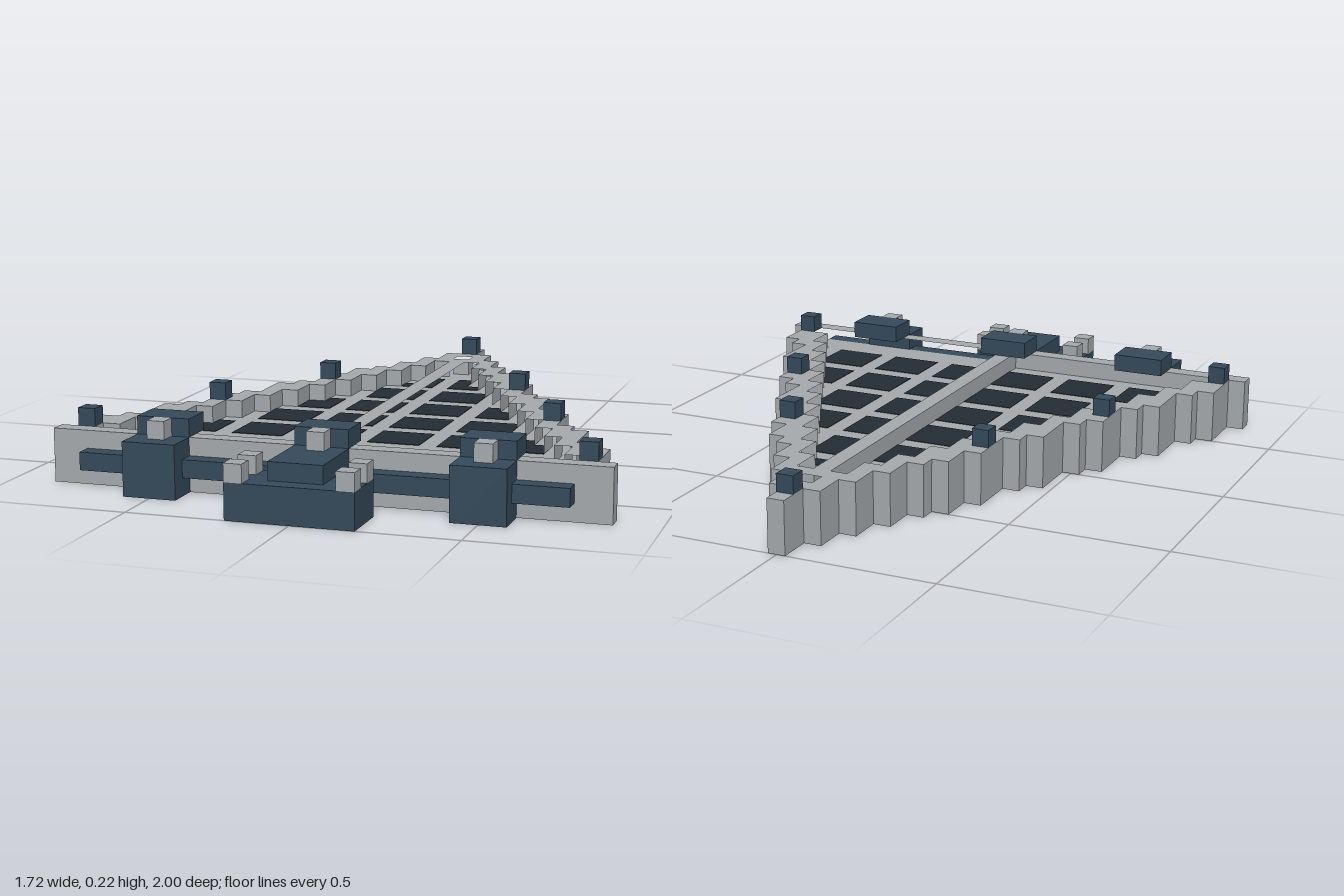
import * as THREE from 'three';

const U = 2 / 36; // one block
const zOf = (row) => (row - 18) * U; // back edge of a row

// half-width of the hull, in blocks beside the centre line, for rows 0 to 30
const HALF = [0, 0, 1, 1, 2, 2, 3, 3, 4, 5, 5, 6, 6, 6, 7, 8, 8, 8, 9, 10, 10, 10, 11, 12, 12, 12, 13, 14, 14, 14, 15];
const deckHalf = (row) => Math.floor((row - 3) / 2);

export function createModel() {
  const model = new THREE.Group();
  model.name = 'wedgeShip';
  const material = (name, color) => {
    const m = new THREE.MeshStandardMaterial({ color });
    m.name = name;
    return m;
  };
  const grey = material('hullGrey', 0xa4a9ab);
  const blue = material('steelBlue', 0x34495a);
  const dark = material('darkPanel', 0x232c34);

  const add = (name, geometry, mat) => {
    const mesh = new THREE.Mesh(geometry, mat);
    mesh.name = name;
    model.add(mesh);
    return mesh;
  };

  // box over inclusive column and row ranges, between two heights in blocks
  const block = (name, mat, x0, x1, y0, y1, r0, r1) => {
    const g = new THREE.BoxGeometry((x1 - x0 + 1) * U, (y1 - y0) * U, (r1 - r0 + 1) * U);
    add(name, g, mat).position.set((x0 + x1) / 2 * U, (y0 + y1) / 2 * U, (zOf(r0) + zOf(r1 + 1)) / 2);
  };

  // stepped edge running from row r0 to r1
  const steps = (halfAt, r0, r1, side) => {
    const pts = [];
    for (let r = r0; r <= r1; r++) {
      const x = side * (halfAt(r) + 0.5) * U;
      if (r === r0 || halfAt(r) !== halfAt(r - 1)) pts.push(new THREE.Vector2(x, -zOf(r)));
      if (r === r1 || halfAt(r) !== halfAt(r + 1)) pts.push(new THREE.Vector2(x, -zOf(r + 1)));
    }
    return pts;
  };
  const hullAt = (r) => HALF[r];
  const outline = () => new THREE.Shape([...steps(hullAt, 0, 30, 1), ...steps(hullAt, 0, 30, -1).reverse()]);
  const slab = (shape, y0, y1) => new THREE.ExtrudeGeometry(shape, { depth: (y1 - y0) * U, bevelEnabled: false })
    .rotateX(-Math.PI / 2).translate(0, y0 * U, 0);

  // hull base and its deck
  add('hullBase', slab(outline(), 0, 2), grey);

  // raised rim and spine, with the deck left open on both sides
  const rim = outline();
  for (const s of [1, -1]) {
    rim.holes.push(new THREE.Path([
      new THREE.Vector2(s * 0.5 * U, -zOf(5)),
      ...steps(deckHalf, 5, 29, s),
      new THREE.Vector2(s * 0.5 * U, -zOf(30)),
    ]));
  }
  rim.holes.push(new THREE.Path([...steps(() => 0, 3, 3, 1), ...steps(() => 0, 3, 3, -1).reverse()]));
  add('rimAndSpine', slab(rim, 2, 3), grey);

  // dark deck panels between the lattice bars
  for (let row = 6; row <= 28; row++) {
    if (row % 4 === 1) continue;
    for (const bay of [1, 5, 9]) {
      const end = Math.min(bay + 2, HALF[row] - 2);
      if (end < bay) continue;
      block('deckPanelLeft', dark, bay, end, 1.97, 2.03, row, row);
      block('deckPanelRight', dark, -end, -bay, 1.97, 2.03, row, row);
    }
  }

  // small turrets along the rim
  block('bowTurret', blue, 0, 0, 3, 4, 1, 1);
  for (const [x, row] of [[6, 12], [10, 20], [14, 29]]) {
    for (const s of [1, -1]) block('rimTurret', blue, s * x, s * x, 3, 4, row, row);
  }

  // engine bar across the stern
  for (const [a, b] of [[-13, -11], [-7, -2], [2, 7], [11, 13]]) block('sternBar', blue, a, b, 1, 2, 31, 31);

  // side and centre engine housings, each with a cap and a light stud
  for (const x of [-9, 0, 9]) {
    block('engineHousing', blue, x - 1, x + 1, 0, 3, 31, 32);
    block('engineCap', blue, x - 1, x + 1, 3, 4, 29, 30);
    block('engineStud', grey, x, x, 3, 4, 31, 31);
  }

  // wide main engine behind the centre housing
  block('mainEngine', blue, -3, 3, 0, 2, 33, 35);
  block('mainEngineTop', blue, -1, 1, 2, 3, 33, 34);
  for (const s of [1, -1]) {
    for (const row of [33, 35]) block('mainEngineStud', grey, s * 3, s * 3, 2, 3, row, row);
  }
  return model;
}
